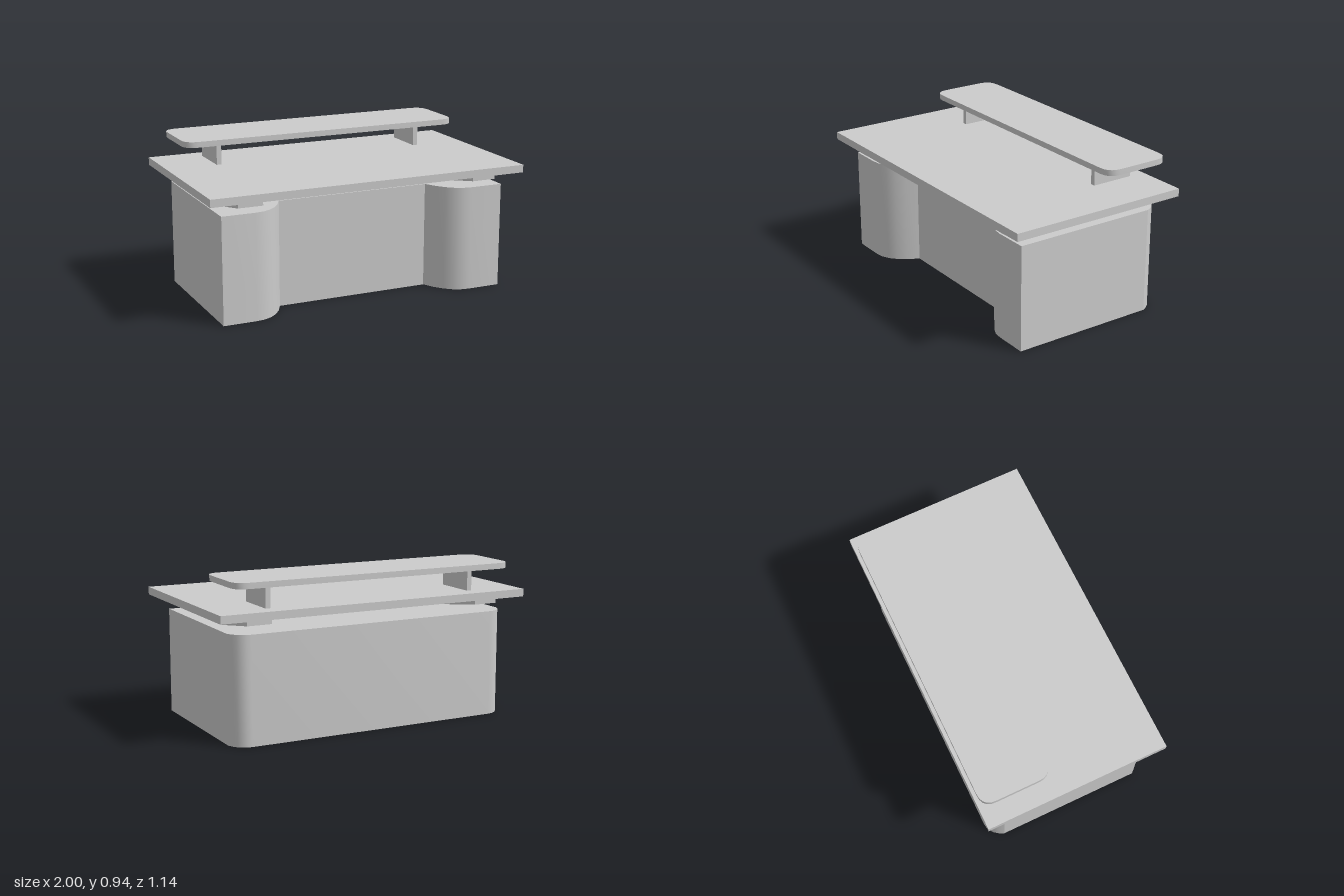
import * as THREE from 'three';
import { toCreasedNormals } from 'three/addons/utils/BufferGeometryUtils.js';

const material = new THREE.MeshStandardMaterial({ color: 0xcccccc });

function addMesh(group, name, geometry, x = 0, y = 0, z = 0) {
  const mesh = new THREE.Mesh(geometry, material);
  mesh.name = name;
  mesh.position.set(x, y, z);
  group.add(mesh);
}

// Extrudes a plan outline (x, -z) upwards, with soft curves and sharp edges
function slab(shape, height) {
  const geometry = new THREE.ExtrudeGeometry(shape, { depth: height, bevelEnabled: false, curveSegments: 5 });
  geometry.rotateX(-Math.PI / 2);
  return toCreasedNormals(geometry, 0.42);
}

export function createModel() {
  const group = new THREE.Group();
  group.name = 'receptionDesk';

  // Body: curved wings beside a recessed front, softened back corners
  const body = new THREE.Shape();
  body.moveTo(-0.905, -0.475);
  body.lineTo(-0.7, -0.475);
  body.quadraticCurveTo(-0.565, -0.475, -0.482, -0.285);
  body.lineTo(0.482, -0.285);
  body.quadraticCurveTo(0.565, -0.475, 0.7, -0.475);
  body.lineTo(0.905, -0.475);
  body.lineTo(0.905, 0.425);
  body.quadraticCurveTo(0.87, 0.515, 0.795, 0.515);
  body.lineTo(-0.795, 0.515);
  body.quadraticCurveTo(-0.87, 0.515, -0.905, 0.425);
  body.closePath();
  addMesh(group, 'body', slab(body, 0.645));

  // Worktop
  addMesh(group, 'worktop', new THREE.BoxGeometry(2, 0.047, 1.14), 0, 0.752, 0);

  // Tapered brackets under the worktop, profile in (z, y)
  const profile = [[-0.53, 0.73], [-0.53, 0.697], [-0.17, 0.645], [0.265, 0.645], [0.53, 0.697], [0.53, 0.73]];
  const bracketShape = new THREE.Shape(profile.map(([z, y]) => new THREE.Vector2(z, y)));
  const bracket = new THREE.ExtrudeGeometry(bracketShape, { depth: 0.15, bevelEnabled: false });
  bracket.translate(0, 0, -0.075);
  bracket.rotateY(-Math.PI / 2);

  // Mirrored pairs: worktop brackets and shelf supports
  for (const [side, label] of [[1, 'left'], [-1, 'right']]) {
    addMesh(group, label + 'Bracket', bracket, side * 0.75);
    addMesh(group, label + 'ShelfSupport', new THREE.BoxGeometry(0.03, 0.135, 0.27), side * 0.67, 0.8425, -0.335);
  }

  // Raised shelf with rounded corners
  const w = 0.905, front = 0.125, back = 0.56, r = 0.085;
  const shelf = new THREE.Shape();
  shelf.moveTo(-w + r, front);
  shelf.lineTo(w - r, front);
  shelf.quadraticCurveTo(w, front, w, front + r);
  shelf.lineTo(w, back - r);
  shelf.quadraticCurveTo(w, back, w - r, back);
  shelf.lineTo(-w + r, back);
  shelf.quadraticCurveTo(-w, back, -w, back - r);
  shelf.lineTo(-w, front + r);
  shelf.quadraticCurveTo(-w, front, -w + r, front);
  addMesh(group, 'shelf', slab(shelf, 0.035), 0, 0.909, 0);

  return group;
}
